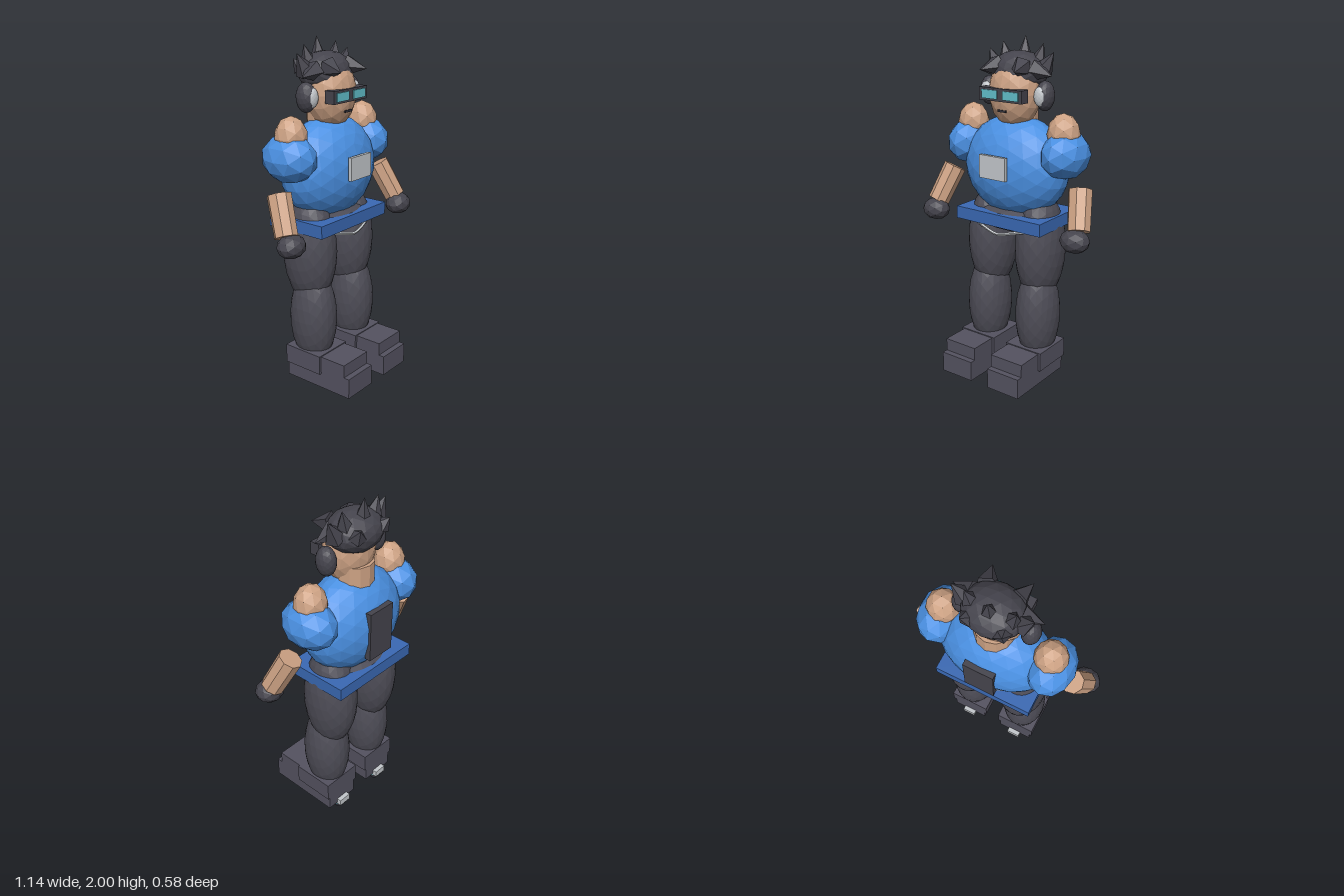
import * as THREE from 'three';

const mat = (name, color) => {
  const m = new THREE.MeshStandardMaterial({ color, flatShading: true });
  m.name = name;
  return m;
};

export function createModel() {
  const root = new THREE.Group();
  root.name = 'skater';
  const blue = mat('shirt blue', 0x4a90e2);
  const navy = mat('belt blue', 0x3a69b4);
  const skin = mat('skin', 0xcda284);
  const pants = mat('trouser grey', 0x4d4c56);
  const boot = mat('boot grey', 0x545260);
  const dark = mat('hair charcoal', 0x45444d);
  const black = mat('wheel black', 0x302f37);
  const teal = mat('lens teal', 0x62c0cc);
  const light = mat('light grey', 0xc4c8cc);

  const add = (name, geo, m, pos, parent = root) => {
    const mesh = new THREE.Mesh(geo, m);
    mesh.name = name;
    mesh.position.set(...pos);
    parent.add(mesh);
    return mesh;
  };
  const box = (name, m, size, pos, parent) =>
    add(name, new THREE.BoxGeometry(...size), m, pos, parent);
  const blob = (name, m, radii, pos, detail = 1, parent = root) =>
    add(name, new THREE.IcosahedronGeometry(1, detail).scale(...radii), m, pos, parent);
  // Cylinder or cone running from point a to point b
  const limb = (name, m, a, b, r0, r1, sides, parent = root) => {
    const from = new THREE.Vector3(...a), to = new THREE.Vector3(...b);
    const dir = to.clone().sub(from);
    const mesh = add(name, new THREE.CylinderGeometry(r1, r0, dir.length(), sides), m,
      from.clone().add(to).multiplyScalar(0.5).toArray(), parent);
    mesh.quaternion.setFromUnitVectors(new THREE.Vector3(0, 1, 0), dir.normalize());
    return mesh;
  };

  // Torso, chest badge, back panel and belt
  blob('torso', blue, [0.33, 0.295, 0.212], [0, 1.283, -0.075], 3);
  box('chestBadge', light, [0.175, 0.13, 0.02], [0, 1.315, 0.147]);
  box('backPanel', dark, [0.175, 0.29, 0.034], [0, 1.275, -0.273]);
  box('belt', navy, [0.58, 0.072, 0.38], [0, 1.001, -0.075]);
  blob('pelvis', pants, [0.265, 0.085, 0.19], [0, 0.995, -0.075], 2);
  const trimPath = new THREE.CatmullRomCurve3([
    [-0.2, 0.962, 0.06], [-0.1, 0.945, 0.1], [0, 0.922, 0.11], [0.1, 0.945, 0.1], [0.2, 0.962, 0.06],
  ].map((p) => new THREE.Vector3(...p)));
  add('waistTrim', new THREE.TubeGeometry(trimPath, 16, 0.009, 5), light, [0, 0, 0]);

  // Head
  limb('neck', skin, [0, 1.48, -0.09], [0, 1.64, -0.09], 0.11, 0.11, 12);
  blob('head', skin, [0.152, 0.2, 0.132], [0, 1.7, -0.055], 2);
  box('mouth', black, [0.055, 0.012, 0.01], [0, 1.612, 0.063]);
  box('goggles', dark, [0.285, 0.07, 0.06], [0, 1.7, 0.052]);

  // Hair cap and its spikes
  blob('hairCap', dark, [0.168, 0.115, 0.142], [0, 1.81, -0.093], 2);
  limb('crownSpike', dark, [0, 1.86, -0.14], [0, 2.0, -0.155], 0.055, 0, 5);

  for (const s of [-1, 1]) {
    const tag = s > 0 ? 'left' : 'right';
    const side = new THREE.Group();
    side.name = tag + 'Side';
    root.add(side);
    const spikes = [
      [[0.1, 1.85, -0.12], [0.135, 1.965, -0.13], 0.055],
      [[0.15, 1.82, -0.1], [0.215, 1.925, -0.11], 0.06],
      [[0.13, 1.83, -0.06], [0.245, 1.805, -0.05], 0.06],
      [[0.08, 1.845, -0.005], [0.11, 1.83, 0.105], 0.06],
      [[0.09, 1.83, -0.19], [0.11, 1.88, -0.23], 0.05],
    ];
    for (const [a, b, r] of spikes) {
      limb('hairSpike', dark, [s * a[0], a[1], a[2]], [s * b[0], b[1], b[2]], r, 0, 5, side);
    }

    // Goggle lens and headphone
    box('lens', teal, [0.103, 0.047, 0.009], [s * 0.07, 1.7, 0.084], side);
    blob('earCup', dark, [0.05, 0.083, 0.06], [s * 0.188, 1.695, -0.072], 2, side);
    blob('earPad', light, [0.036, 0.055, 0.025], [s * 0.18, 1.695, -0.032], 2, side);

    // Arm
    blob('shoulderCap', skin, [0.092, 0.115, 0.09], [s * 0.308, 1.5, -0.075], 1, side);
    blob('sleeve', blue, [0.128, 0.135, 0.168], [s * 0.322, 1.388, -0.078], 1, side);
    limb('forearm', skin, [s * 0.438, 1.22, -0.05], [s * 0.492, 1.02, 0.045], 0.067, 0.064, 8, side);
    blob('hand', dark, [0.085, 0.066, 0.074], [s * 0.486, 0.975, 0.074], 1, side);

    // Leg
    blob('thigh', pants, [0.138, 0.33, 0.165], [s * 0.168, 0.83, -0.075], 3, side);
    blob('shin', pants, [0.126, 0.3, 0.143], [s * 0.175, 0.43, -0.047], 3, side);

    // Boot: body, lower toe step and wider ankle cuff
    const x = s * 0.167;
    box('bootBody', boot, [0.214, 0.195, 0.415], [x, 0.1475, 0.0475], side);
    box('bootToe', boot, [0.214, 0.12, 0.06], [x, 0.11, 0.26], side);
    box('bootCuff', boot, [0.244, 0.112, 0.252], [x, 0.194, -0.036], side);

    // Skate rail, wheels with hubs, and heel brake
    box('skateRail', black, [0.035, 0.025, 0.34], [x, 0.045, 0.01], side);
    for (const z of [0.155, 0.057, -0.042, -0.14]) {
      const wheel = new THREE.CylinderGeometry(0.043, 0.043, 0.06, 10).rotateZ(Math.PI / 2);
      const hub = new THREE.CylinderGeometry(0.022, 0.022, 0.068, 8).rotateZ(Math.PI / 2);
      add('wheel', wheel, black, [x, 0.043, z], side);
      add('wheelHub', hub, teal, [x, 0.043, z], side);
    }
    box('heelBrake', light, [0.08, 0.04, 0.035], [x, 0.06, -0.17], side);
  }
  return root;
}
